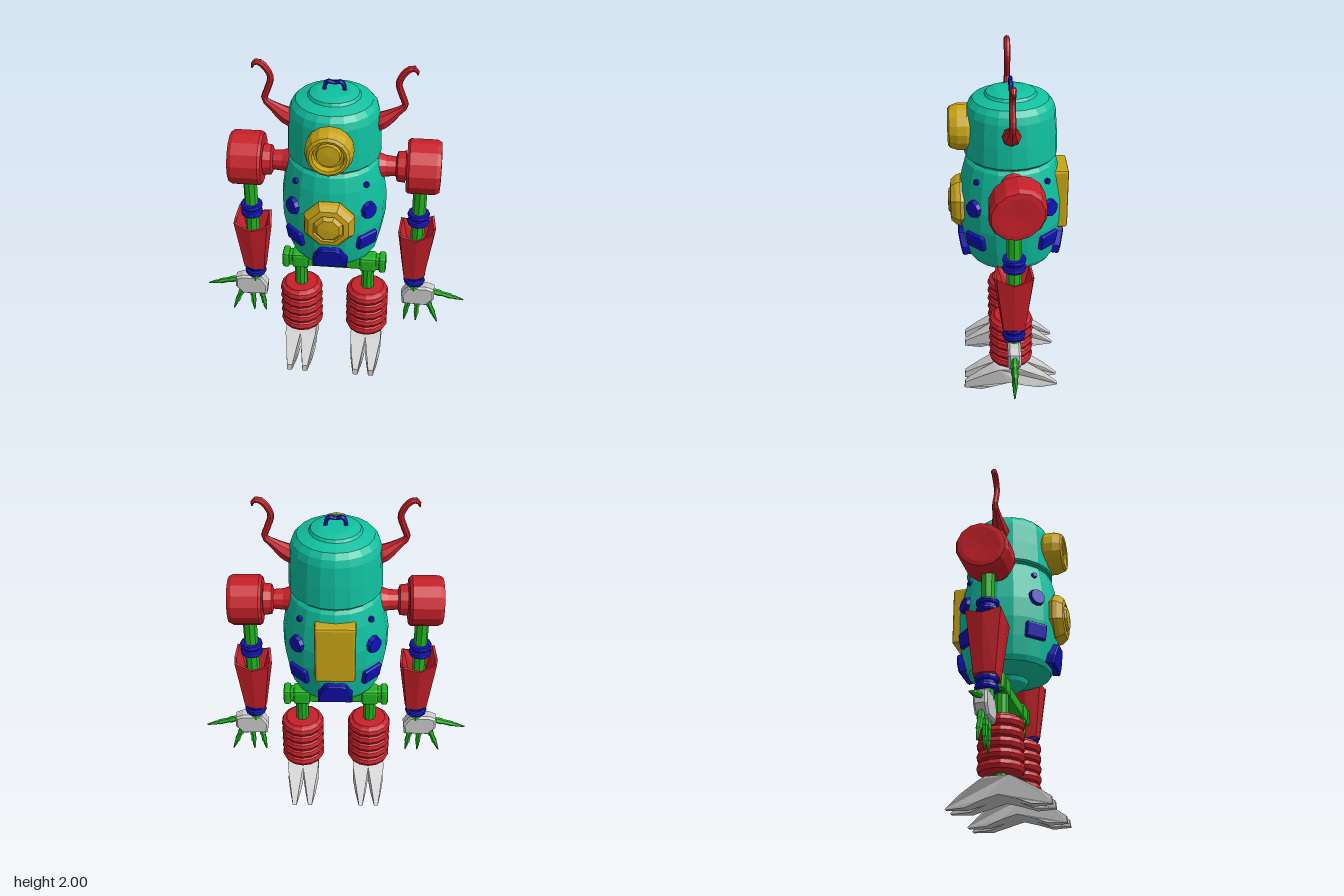
import * as THREE from 'three';
import { RoundedBoxGeometry } from 'three/addons/geometries/RoundedBoxGeometry.js';

const mat = (color) => new THREE.MeshStandardMaterial({ color, flatShading: true });
const V2 = (p) => p.map(([a, b]) => new THREE.Vector2(a, b));
const CZ = -0.015; // the body axis sits slightly behind the centre

export function createModel() {
  const root = new THREE.Group();
  const teal = mat(0x10c0a0), red = mat(0xc8202a), yellow = mat(0xc8a414);
  const blue = mat(0x1010b4), green = mat(0x20b420), grey = mat(0xcccccc);

  const add = (name, geo, material, x = 0, y = 0, z = CZ, parent = root) => {
    const m = new THREE.Mesh(geo, material);
    m.name = name;
    m.position.set(x, y, z);
    parent.add(m);
    return m;
  };
  const lathe = (pts, n) => new THREE.LatheGeometry(V2(pts), n);
  const post = (r, y0, y1, n = 10) => new THREE.CylinderGeometry(r, r, y1 - y0, n).translate(0, (y0 + y1) / 2, 0);
  // Tapered tube through [x, y, r] points
  const limb = (pts, n = 16, sides = 8) => {
    const curve = new THREE.CatmullRomCurve3(pts.map(([x, y]) => new THREE.Vector3(x, y, 0)), false, 'centripetal');
    const geo = new THREE.TubeGeometry(curve, n, 1, sides);
    const pos = geo.attributes.position, v = new THREE.Vector3();
    for (let i = 0; i < pos.count; i++) {
      const ring = Math.floor(i / (sides + 1));
      const c = curve.getPointAt(ring / n);
      const f = (ring / n) * (pts.length - 1), k = Math.min(Math.floor(f), pts.length - 2);
      const r = THREE.MathUtils.lerp(pts[k][2], pts[k + 1][2], f - k);
      v.fromBufferAttribute(pos, i).sub(c).multiplyScalar(r).add(c);
      pos.setXYZ(i, v.x, v.y, v.z);
    }
    geo.computeVertexNormals();
    return geo;
  };

  // Torso and domed head
  add('torso', lathe([[0, 0.71], [0.03, 0.725], [0.1, 0.775], [0.11, 0.8], [0.18, 0.81], [0.24, 0.835], [0.257, 0.865],
    [0.28, 0.97], [0.298, 1.08], [0.3, 1.2], [0.277, 1.35], [0.255, 1.435], [0.24, 1.455], [0, 1.46]], 20), teal);
  add('neck', post(0.2, 1.44, 1.49, 20), teal);
  add('head', lathe([[0, 1.465], [0.25, 1.465], [0.26, 1.475], [0.256, 1.6], [0.247, 1.72], [0.235, 1.76], [0.21, 1.79],
    [0.145, 1.81], [0.135, 1.825], [0.09, 1.838], [0, 1.842]], 20), teal);
  add('topHandle', limb([[-0.055, 1.83, 0.012], [-0.05, 1.865, 0.012], [-0.035, 1.885, 0.013], [0, 1.878, 0.01],
    [0.035, 1.885, 0.013], [0.05, 1.865, 0.012], [0.055, 1.83, 0.012]], 18, 6), blue);

  // Yellow eye, belly knob and back panel
  add('eye', lathe([[0, 0.18], [0.1, 0.18], [0.13, 0.225], [0.13, 0.275], [0.115, 0.32], [0.1, 0.33], [0.085, 0.325],
    [0.08, 0.29], [0.068, 0.29], [0.062, 0.31], [0, 0.315]], 16).rotateX(Math.PI / 2), yellow, 0, 1.62, 0);
  const knob = lathe([[0, 0.2], [0.13, 0.22], [0.152, 0.27], [0.145, 0.295], [0.12, 0.325], [0.09, 0.33],
    [0.085, 0.318], [0.065, 0.34], [0, 0.345]], 8).rotateZ(0).rotateX(Math.PI / 2).rotateZ(Math.PI / 8);
  add('bellyKnob', knob, yellow, 0, 1.165, 0);
  add('backPanel', new RoundedBoxGeometry(0.225, 0.36, 0.12, 1, 0.015), yellow, 0, 1.21, -0.277);

  // Blue patches around the torso; tilt follows the wall
  const patch = (name, geo, az, r, y, tilt) => {
    const m = add(name, geo, blue, Math.sin(az) * r, y, CZ + Math.cos(az) * r);
    m.rotation.set(tilt, az, 0, 'YXZ');
  };
  for (let i = 0; i < 4; i++) {
    const az = Math.PI / 4 + i * Math.PI / 2;
    patch('rivet', new THREE.CylinderGeometry(0.016, 0.02, 0.04, 8).rotateX(Math.PI / 2), az, 0.265, 1.37, -0.15);
    patch('roundPort', new THREE.CylinderGeometry(0.045, 0.06, 0.05, 10).rotateX(Math.PI / 2), az, 0.29, 1.215, -0.06);
    patch('squarePort', new RoundedBoxGeometry(0.13, 0.095, 0.06, 1, 0.012), az, 0.275, 1.01, 0.18);
  }
  const vent = new THREE.ExtrudeGeometry(new THREE.Shape(V2([[-0.09, -0.06], [0.09, -0.06], [0.09, -0.015], [0.055, 0.055],
    [0.035, 0.065], [-0.035, 0.065], [-0.055, 0.055], [-0.09, -0.015]])),
  { depth: 0.05, bevelSize: 0.008, bevelThickness: 0.008, bevelSegments: 1 }).translate(0, 0, -0.03);
  patch('frontVent', vent, 0, 0.266, 0.92, 0.2);
  patch('backVent', vent, Math.PI, 0.266, 0.92, 0.2);

  // Hip bar with thicker sleeves
  add('hipBar', new RoundedBoxGeometry(0.6, 0.08, 0.08, 1, 0.015), green, 0, 0.683);

  // Foot half: arched side profile, ends pinched into a toe
  const toe = () => {
    const geo = new THREE.ExtrudeGeometry(new THREE.Shape(V2([[0.275, 0], [0.27, 0.04], [0.19, 0.09], [0.09, 0.145], [0.06, 0.155],
      [-0.07, 0.155], [-0.1, 0.14], [-0.21, 0.075], [-0.295, 0.005], [-0.29, 0], [-0.18, 0], [-0.09, 0.03], [0, 0.055],
      [0.09, 0.03], [0.17, 0]])), { depth: 0.096, bevelEnabled: false }).rotateY(-Math.PI / 2).translate(0.048, 0, 0);
    const p = geo.attributes.position;
    for (let i = 0; i < p.count; i++) {
      const t = Math.max(0, (Math.abs(p.getZ(i)) - 0.1) / 0.19);
      p.setX(i, p.getX(i) * (1 - 0.75 * t));
    }
    geo.computeVertexNormals();
    return geo;
  };

  // Flared hollow forearm: square-ish section with raised corners
  const forearmShape = (s) => {
    const geo = lathe([[0, 0.62], [0.067, 0.62], [0.11, 0.935], [0.097, 0.935], [0.055, 0.82], [0, 0.82]], 8);
    const p = geo.attributes.position;
    for (let i = 0; i < p.count; i++) {
      const x = p.getX(i), y = p.getY(i), z = p.getZ(i);
      const corner = Math.min(Math.abs(x), Math.abs(z)) > 0.02;
      const k = corner ? 1.25 : 1;
      p.setXYZ(i, x * k, y + (corner && y > 0.9 ? 0.035 : 0) + s * x * 0.17, z * k);
    }
    geo.computeVertexNormals();
    return geo;
  };

  // Bellows profile for the shins
  const bellows = [[0, 0.185], [0.1, 0.185]];
  for (let i = 0; i < 5; i++) {
    const y = 0.19 + i * 0.061;
    bellows.push([0.122, y], [0.132, y + 0.022], [0.124, y + 0.046], [0.108, y + 0.054]);
  }
  bellows.push([0.1, 0.5], [0, 0.502]);
  const cuff = (y) => lathe([[0, y - 0.037], [0.062, y - 0.037], [0.066, y - 0.025], [0.062, y - 0.011], [0.05, y - 0.008],
    [0.05, y + 0.008], [0.062, y + 0.011], [0.066, y + 0.025], [0.062, y + 0.037], [0, y + 0.037]], 12);

  for (const s of [1, -1]) {
    const side = new THREE.Group();
    side.name = s > 0 ? 'leftSide' : 'rightSide';
    root.add(side);
    const put = (name, geo, material, x = 0, y = 0, z = CZ) => add(name, geo, material, s * x, y, z, side);

    // Curled horn
    put('horn', limb([[0.22, 1.65, 0.052], [0.27, 1.675, 0.05], [0.33, 1.72, 0.037], [0.378, 1.765, 0.024], [0.362, 1.82, 0.018],
      [0.34, 1.89, 0.018], [0.355, 1.935, 0.018], [0.385, 1.972, 0.018], [0.41, 1.982, 0.019], [0.43, 1.97, 0.019],
      [0.437, 1.945, 0.004]].map(([x, y, r]) => [s * x, y, r]), 22), red, 0, 0, -0.01);

    // Shoulder drum, slightly oval and tilted
    const drum = lathe([[0, 0.405], [0.13, 0.405], [0.142, 0.42], [0.142, 0.57], [0.13, 0.593], [0.105, 0.596], [0, 0.59]], 14)
      .scale(1, 1, 1.12).rotateZ(-s * Math.PI / 2).rotateX(0.7);
    put('shoulderDrum', drum, red, 0, 1.373, -0.03);
    put('shoulderJoint', lathe([[0, 0.22], [0.085, 0.22], [0.06, 0.29], [0.055, 0.345], [0.085, 0.355], [0.09, 0.4], [0, 0.42]], 12)
      .rotateZ(-s * Math.PI / 2), red, 0, 1.373, -0.02);

    // Arm
    put('armRod', post(0.04, 0.5, 1.26, 8), green, 0.49);
    put('elbowCuff', cuff(1.033), blue, 0.49);
    put('forearm', forearmShape(s), red, 0.487);
    put('wristCuff', cuff(0.588), blue, 0.49);

    // Hand and pointed jointed fingers
    const palm = new THREE.Shape(V2([[0.435, 0.4], [0.57, 0.395], [0.607, 0.44], [0.605, 0.5], [0.57, 0.515], [0.46, 0.512],
      [0.428, 0.46]].map(([x, y]) => [s * x, y])));
    put('palm', new THREE.ExtrudeGeometry(palm, { depth: 0.05, bevelSize: 0.012, bevelThickness: 0.012, bevelSegments: 1 })
      .translate(0, 0, -0.025), grey);
    for (const [x0, y0, x1, y1] of [[0.59, 0.485, 0.8, 0.425], [0.575, 0.42, 0.65, 0.23], [0.52, 0.41, 0.515, 0.23], [0.465, 0.41, 0.44, 0.23]]) {
      const len = Math.hypot(x1 - x0, y1 - y0);
      const finger = put('finger', lathe([[0, 0], [0.017, 0], [0.02, len * 0.3], [0.015, len * 0.36], [0.017, len * 0.62],
        [0.011, len * 0.68], [0.012, len * 0.75], [0.004, len], [0, len]], 6), green, x0, y0);
      finger.rotation.z = Math.atan2(-s * (x1 - x0), y1 - y0);
    }

    // Leg and foot
    put('hipSleeve', new RoundedBoxGeometry(0.105, 0.1, 0.1, 1, 0.018), green, 0.205, 0.683);
    put('hipEnd', new RoundedBoxGeometry(0.045, 0.1, 0.1, 1, 0.015), green, 0.292, 0.683);
    put('legRod', post(0.04, 0.1, 0.66), green, 0.205, 0, -0.01);
    put('shinBellows', lathe(bellows, 14), red, 0.205, 0, -0.01);
    for (const k of [-1, 1]) put(k < 0 ? 'innerToe' : 'outerToe', toe(), grey, 0.207 + k * 0.048, 0, 0);
  }
  return root;
}
